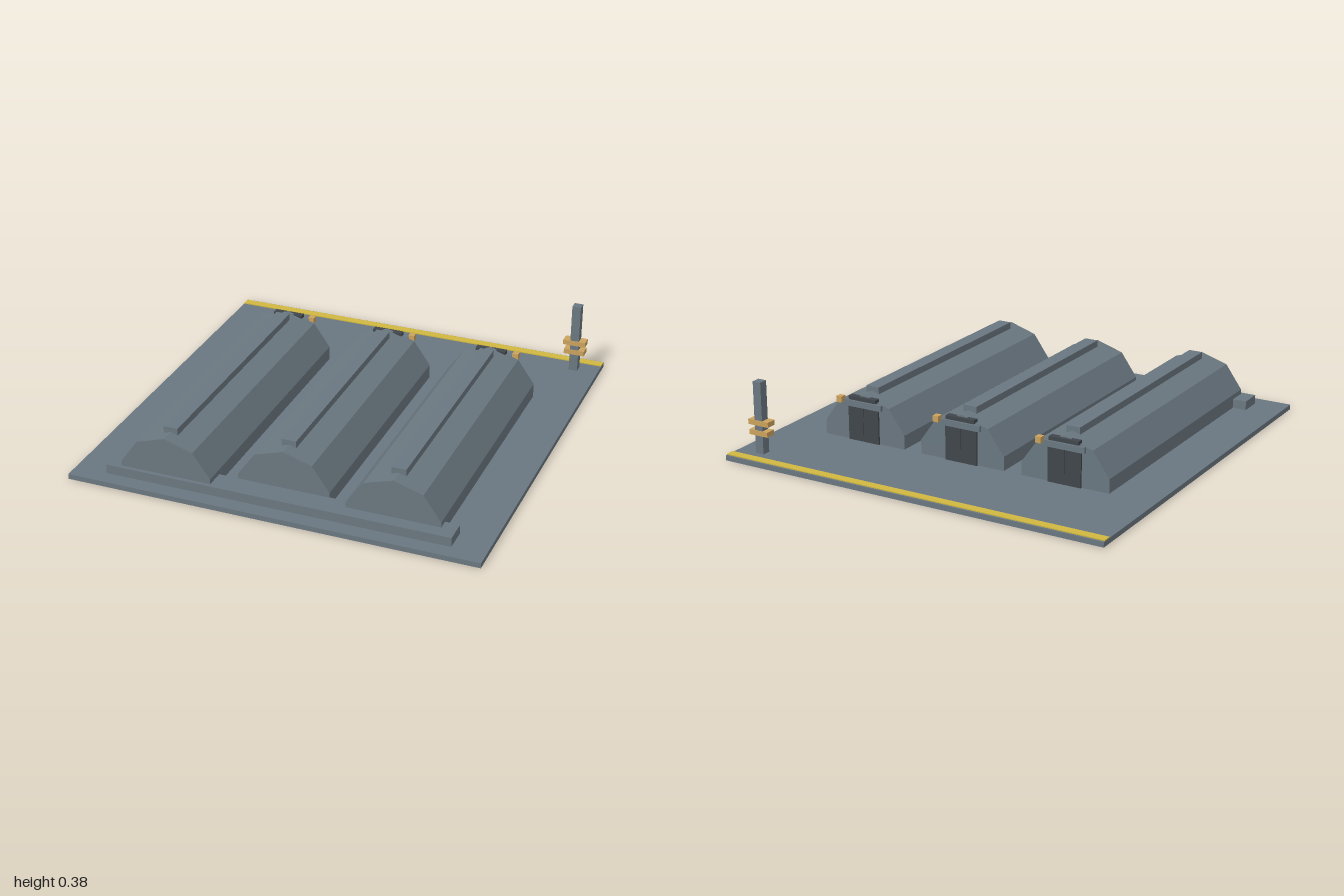
import * as THREE from 'three';

const flat = (name, color) => {
  const m = new THREE.MeshStandardMaterial({ color });
  m.name = name;
  return m;
};

export function createModel() {
  const model = new THREE.Group();
  const steel = flat('steel grey', 0x6a7780);
  const dark = flat('dark grey', 0x40464b);
  const yellow = flat('marking yellow', 0xd0b840);
  const amber = flat('amber', 0xcba25c);

  // Box given by its min and max on each axis
  const box = (parent, name, mat, [x0, x1], [y0, y1], [z0, z1]) => {
    const mesh = new THREE.Mesh(new THREE.BoxGeometry(x1 - x0, y1 - y0, z1 - z0), mat);
    mesh.position.set((x0 + x1) / 2, (y0 + y1) / 2, (z0 + z1) / 2);
    mesh.name = name;
    parent.add(mesh);
  };

  // Ground slab, rear marking and front beam
  box(model, 'baseSlab', steel, [-1, 1], [0, 0.025], [-1, 1]);
  box(model, 'rearStripe', yellow, [-1, 1], [0.025, 0.03], [-0.99, -0.947]);
  box(model, 'frontBeam', steel, [-0.84, 0.84], [0.025, 0.07], [0.81, 0.925]);

  // Faceted vault section shared by the three halls
  const section = new THREE.Shape([
    [-0.225, 0.025], [0.225, 0.025], [0.225, 0.094], [0.14, 0.213],
    [0, 0.257], [-0.14, 0.213], [-0.225, 0.094],
  ].map(([x, y]) => new THREE.Vector2(x, y)));
  const back = -0.515;

  [[-0.545, 0.905], [0, 0.812], [0.545, 0.86]].forEach(([x, front], i) => {
    const hall = new THREE.Group();
    hall.name = `hall${i + 1}`;
    hall.position.x = x;
    model.add(hall);

    const vault = new THREE.Mesh(
      new THREE.ExtrudeGeometry(section, { depth: front - back, bevelEnabled: false }), steel);
    vault.position.z = back;
    vault.name = 'vault';
    hall.add(vault);
    box(hall, 'ridgeVent', steel, [-0.035, 0.035], [0.245, 0.28], [-0.442, front - 0.07]);

    // Rear doorway: two leaves, lintel, hood and lamp
    box(hall, 'doorLeafRight', dark, [-0.085, -0.001], [0.025, 0.2], [-0.524, back]);
    box(hall, 'doorLeafLeft', dark, [0.001, 0.085], [0.025, 0.2], [-0.524, back]);
    box(hall, 'lintel', steel, [-0.105, 0.105], [0.195, 0.225], [-0.53, back]);
    box(hall, 'hood', dark, [-0.076, 0.076], [0.23, 0.248], [-0.532, -0.5]);
    box(hall, 'lamp', amber, [0.108, 0.138], [0.21, 0.24], [-0.547, -0.515]);
  });

  // Corner post with two collars
  box(model, 'post', steel, [0.854, 0.898], [0.025, 0.38], [-0.902, -0.858]);
  box(model, 'lowerCollar', amber, [0.824, 0.928], [0.115, 0.14], [-0.906, -0.854]);
  box(model, 'upperCollar', amber, [0.818, 0.932], [0.165, 0.19], [-0.906, -0.854]);
  return model;
}
